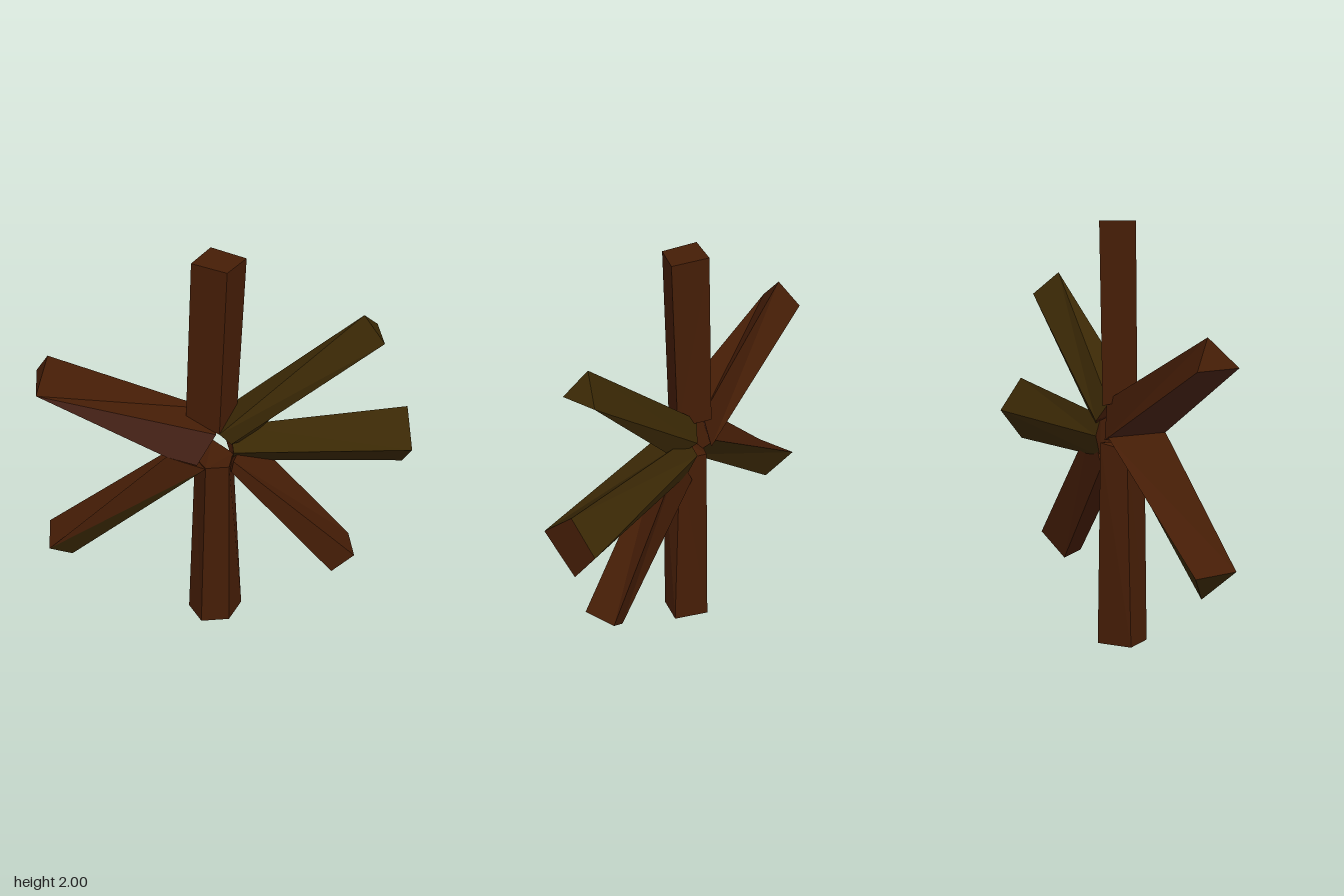
import * as THREE from 'three';

const mat = (name, color) => {
  const m = new THREE.MeshStandardMaterial({ color });
  m.name = name;
  return m;
};

// Lofts a straight beam between two matching corner loops (repeat a corner to merge edges).
// sides[i] is the colour index of the face between corners i and i + 1.
function beam(name, outer, inner, materials, sides, capOuter, capInner) {
  const O = outer.map((p) => new THREE.Vector3(...p));
  const I = inner.map((p) => new THREE.Vector3(...p));
  const n = O.length;
  const mean = (loop) => loop.reduce((s, p) => s.add(p), new THREE.Vector3()).divideScalar(n);
  const axis = mean(O).sub(mean(I));
  const area = new THREE.Vector3();
  O.forEach((p, i) => area.add(p.clone().cross(O[(i + 1) % n])));
  const flip = area.dot(axis) < 0;

  const pos = [];
  const geo = new THREE.BufferGeometry();
  const tri = (a, b, c, m) => {
    if (a.equals(b) || b.equals(c) || a.equals(c)) return;
    geo.addGroup(pos.length / 3, 3, m);
    for (const p of flip ? [a, c, b] : [a, b, c]) pos.push(p.x, p.y, p.z);
  };
  for (let i = 0; i < n; i++) {
    const j = (i + 1) % n;
    tri(I[i], I[j], O[j], sides[i]);
    tri(I[i], O[j], O[i], sides[i]);
  }
  for (let i = 1; i < n - 1; i++) {
    tri(O[0], O[i], O[i + 1], capOuter);
    tri(I[0], I[i + 1], I[i], capInner);
  }
  geo.setAttribute('position', new THREE.Float32BufferAttribute(pos, 3));
  geo.computeVertexNormals();
  const mesh = new THREE.Mesh(geo, materials);
  mesh.name = name;
  return mesh;
}

export function createModel() {
  const group = new THREE.Group();
  group.name = 'radialBeams';
  const materials = [
    mat('brown wood', 0x451d06),
    mat('olive wood', 0x3a2805),
    mat('reddish wood', 0x4a2418),
  ];
  const BROWN = 0, OLIVE = 1, RED = 2;
  const add = (name, outer, inner, sides, capOuter, capInner) =>
    group.add(beam(name, outer, inner, materials, sides, capOuter, capInner));

  // Upright beam, four-sided
  add('topBeam',
    [[-0.155, 2, 0.06], [-0.01, 1.99, 0.14], [0.085, 1.99, 0.02], [-0.06, 2, -0.075]],
    [[-0.19, 1.2, 0.05], [-0.045, 1.16, 0.14], [0.045, 1.15, 0.02], [-0.09, 1.16, -0.075]],
    [BROWN, BROWN, BROWN, BROWN], BROWN, BROWN);

  // Upper beam on the model's left, tapering to a triangle
  const tip = [0.6, 1.71, 0.07], tipBack = [0.685, 1.6, -0.03];
  add('upperLeftBeam',
    [tip, [0.685, 1.6, 0.14], tipBack, tipBack, tip],
    [[-0.045, 1.16, 0.14], [0.01, 1.1, 0.14], [0.1, 1.02, 0], [0, 1.07, -0.06], [-0.05, 1.16, -0.02]],
    [OLIVE, OLIVE, OLIVE, OLIVE, OLIVE], OLIVE, BROWN);

  // Level beam, diamond section
  add('leftBeam',
    [[0.857, 1.145, -0.02], [0.857, 1.005, 0.14], [0.857, 0.825, -0.02], [0.857, 0.985, -0.14]],
    [[0.02, 1.09, -0.02], [0.02, 1.05, 0.14], [0.03, 0.89, -0.02], [0, 1, -0.06]],
    [OLIVE, OLIVE, OLIVE, OLIVE], BROWN, BROWN);

  // Lower beam on the model's left, four-sided
  add('lowerLeftBeam',
    [[0.62, 0.375, 0.14], [0.62, 0.375, -0.03], [0.485, 0.26, 0.03], [0.51, 0.28, 0.14]],
    [[0.02, 1, 0.14], [0.1, 1.04, -0.03], [0, 0.85, -0.03], [0.01, 0.94, 0.14]],
    [BROWN, BROWN, BROWN, BROWN], BROWN, BROWN);

  // Standing beam, five-sided
  add('bottomBeam',
    [[-0.14, 0, 0.14], [0, 0, 0.14], [0.075, 0, 0.02], [-0.06, 0, -0.085], [-0.193, 0, 0.02]],
    [[-0.11, 0.97, 0.14], [0, 0.97, 0.14], [0.03, 0.96, 0.02], [-0.06, 0.98, -0.07], [-0.15, 0.95, 0.02]],
    [BROWN, BROWN, BROWN, BROWN, BROWN], BROWN, BROWN);

  // Lower beam on the model's right, brown on top and in front, olive beneath
  const lowTip = [-0.86, 0.545, 0.14];
  add('lowerRightBeam',
    [lowTip, lowTip, [-0.76, 0.41, 0.03], [-0.86, 0.545, -0.07]],
    [[-0.29, 1.05, 0.14], [-0.11, 0.965, 0.14], [-0.09, 0.92, 0.03], [-0.13, 1.02, -0.07]],
    [BROWN, OLIVE, OLIVE, BROWN], OLIVE, BROWN);

  // Upper beam on the model's right, reddish in front and underneath
  const highTip = [-0.85, 1.425, 0.14];
  add('upperRightBeam',
    [[-0.79, 1.555, 0.02], highTip, highTip, highTip, [-0.85, 1.425, -0.07]],
    [[-0.07, 1.18, -0.04], [-0.06, 1.16, 0.14], [-0.15, 0.99, 0.14], [-0.29, 1.05, 0.14], [-0.1, 1, -0.07]],
    [BROWN, RED, RED, RED, BROWN], BROWN, RED);

  return group;
}
